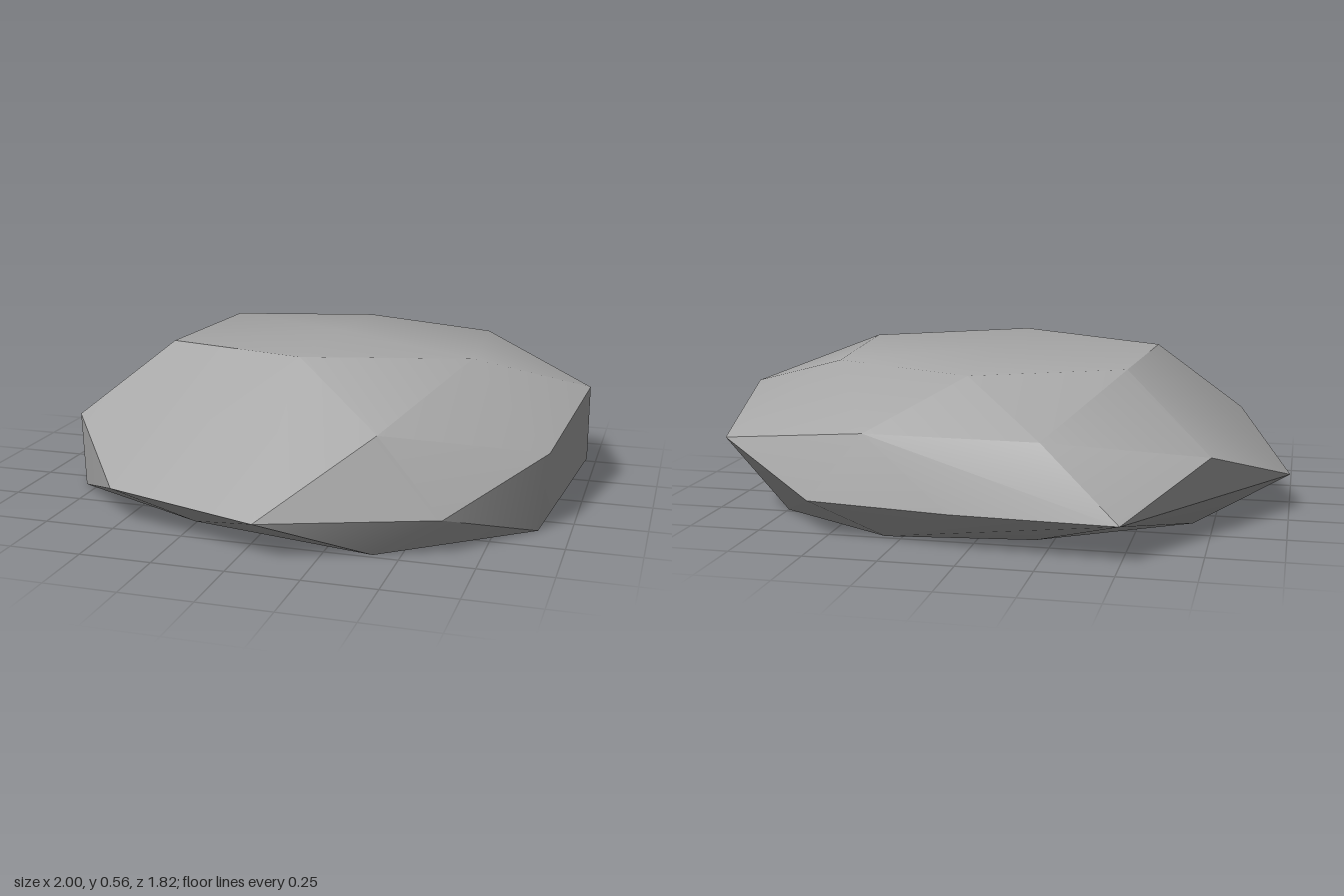
import * as THREE from 'three';
import { ConvexGeometry } from 'three/addons/geometries/ConvexGeometry.js';
import { toCreasedNormals } from 'three/addons/utils/BufferGeometryUtils.js';

// Corners of the faceted boulder, ring by ring from the ground up: [x, y, z]
const base = [
  [0.41, 0, 0.73], [0.89, 0, 0.35], [0.75, 0, -0.48], [0.31, 0, -0.73],
  [-0.19, 0, -0.67], [-0.68, 0, -0.36], [-0.8, 0, 0.34], [-0.26, 0, 0.6],
];
const lowerRim = [
  [0.06, 0.13, 0.91], [0.63, 0.13, 0.7], [1, 0.13, -0.11], [0.55, 0.13, -0.815],
  [0.05, 0.13, -0.885], [-0.5, 0.13, -0.91], [-1, 0.13, -0.11], [-0.52, 0.13, 0.715],
];
const shoulder = [
  [0.41, 0.39, 0.69], [0.92, 0.28, 0.36], [1, 0.4, -0.11], [0.93, 0.28, -0.59],
  [0.36, 0.36, -0.795], [-0.23, 0.36, -0.81], [-0.75, 0.28, -0.56], [-0.8, 0.28, 0.36],
];
const crown = [
  [0.06, 0.56, 0.4], [0.62, 0.545, 0.19], [0.58, 0.53, -0.37],
  [0.06, 0.525, -0.58], [-0.45, 0.535, -0.4], [-0.49, 0.54, 0.19], [0.06, 0.555, -0.1],
];

export function createModel() {
  const group = new THREE.Group();
  group.name = 'rock';

  const stone = new THREE.MeshStandardMaterial({ color: 0xa6a6a6 });
  stone.name = 'grey stone';

  // Convex stone with soft shading across shallow facets and sharp steep edges
  const corners = [...base, ...lowerRim, ...shoulder, ...crown].map((p) => new THREE.Vector3(...p));
  const geometry = toCreasedNormals(new ConvexGeometry(corners), THREE.MathUtils.degToRad(32));
  const boulder = new THREE.Mesh(geometry, stone);
  boulder.name = 'boulder';
  group.add(boulder);

  return group;
}
